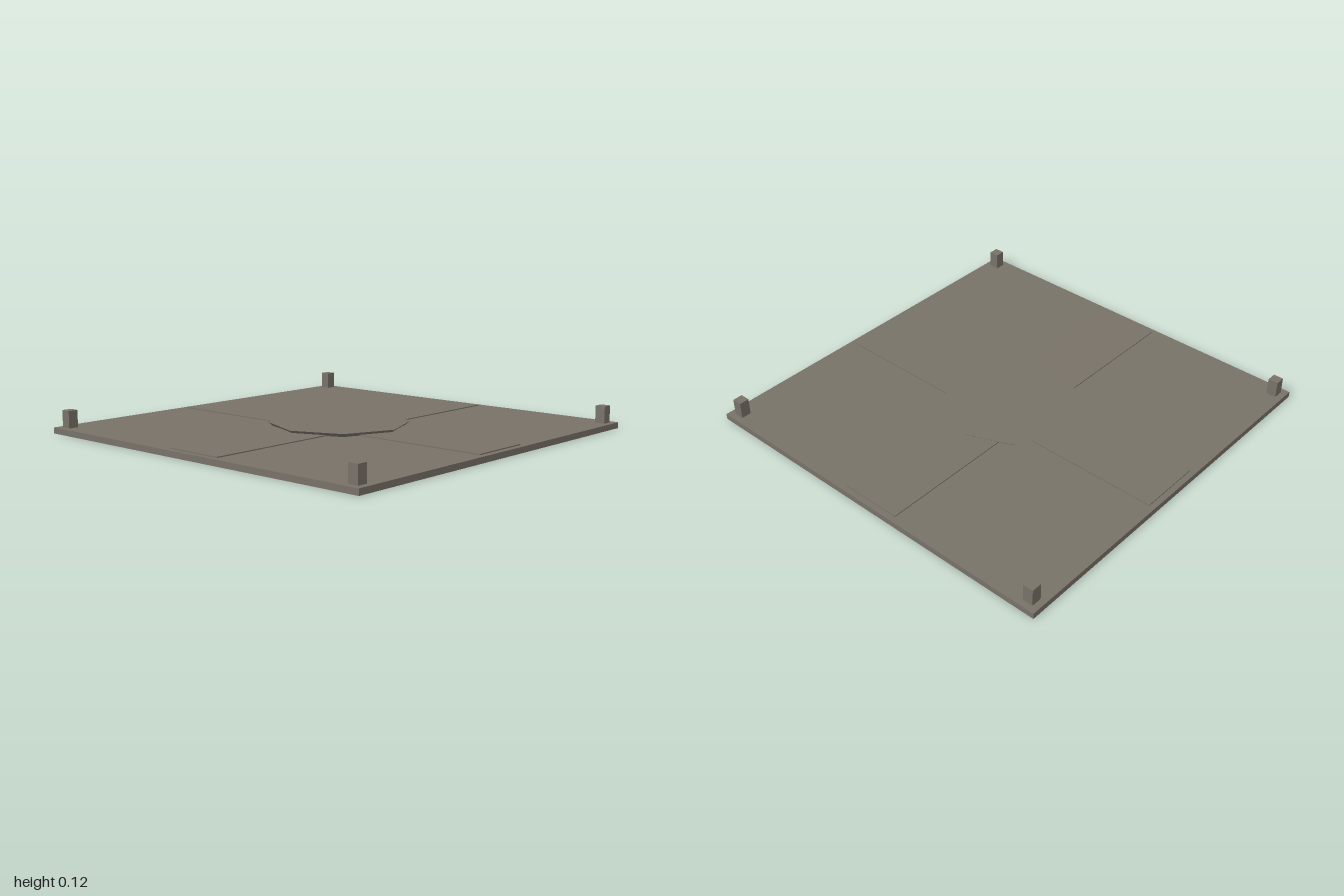
import * as THREE from 'three';

export function createModel() {
  const model = new THREE.Group();
  const stone = new THREE.MeshStandardMaterial({ color: 0x787268 });
  stone.name = 'stone';

  const add = (name, geometry, x, y, z) => {
    const mesh = new THREE.Mesh(geometry, stone);
    mesh.name = name;
    mesh.position.set(x, y, z);
    model.add(mesh);
    return mesh;
  };
  // Box standing on a given height
  const box = (name, w, h, d, x, bottom, z) =>
    add(name, new THREE.BoxGeometry(w, h, d), x, bottom + h / 2, z);

  // Square floor slab
  box('floorSlab', 2, 0.03, 2, 0, 0, 0);

  // Two slightly raised paths crossing in the middle, as three pieces
  const top = 0.03, rise = 0.005, width = 0.32, length = 1.94;
  const arm = (length - width) / 2;
  box('pathAlongZ', width, rise, length, 0, top, 0);
  for (const s of [-1, 1]) {
    box(s > 0 ? 'leftPath' : 'rightPath', arm, rise, width, s * (width + arm) / 2, top, 0);
  }

  // Octagonal centre platform, undercut so it flares towards the top
  const platform = new THREE.CylinderGeometry(0.356, 0.335, 0.018, 8).toNonIndexed();
  platform.computeVertexNormals();
  add('centrePlatform', platform, 0, top + 0.009, 0);

  // Corner posts
  for (const x of [-0.942, 0.942]) {
    for (const z of [-0.942, 0.942]) {
      const name = (z > 0 ? 'front' : 'back') + (x > 0 ? 'Left' : 'Right') + 'Post';
      box(name, 0.052, 0.087, 0.052, x, top, z);
    }
  }
  return model;
}
